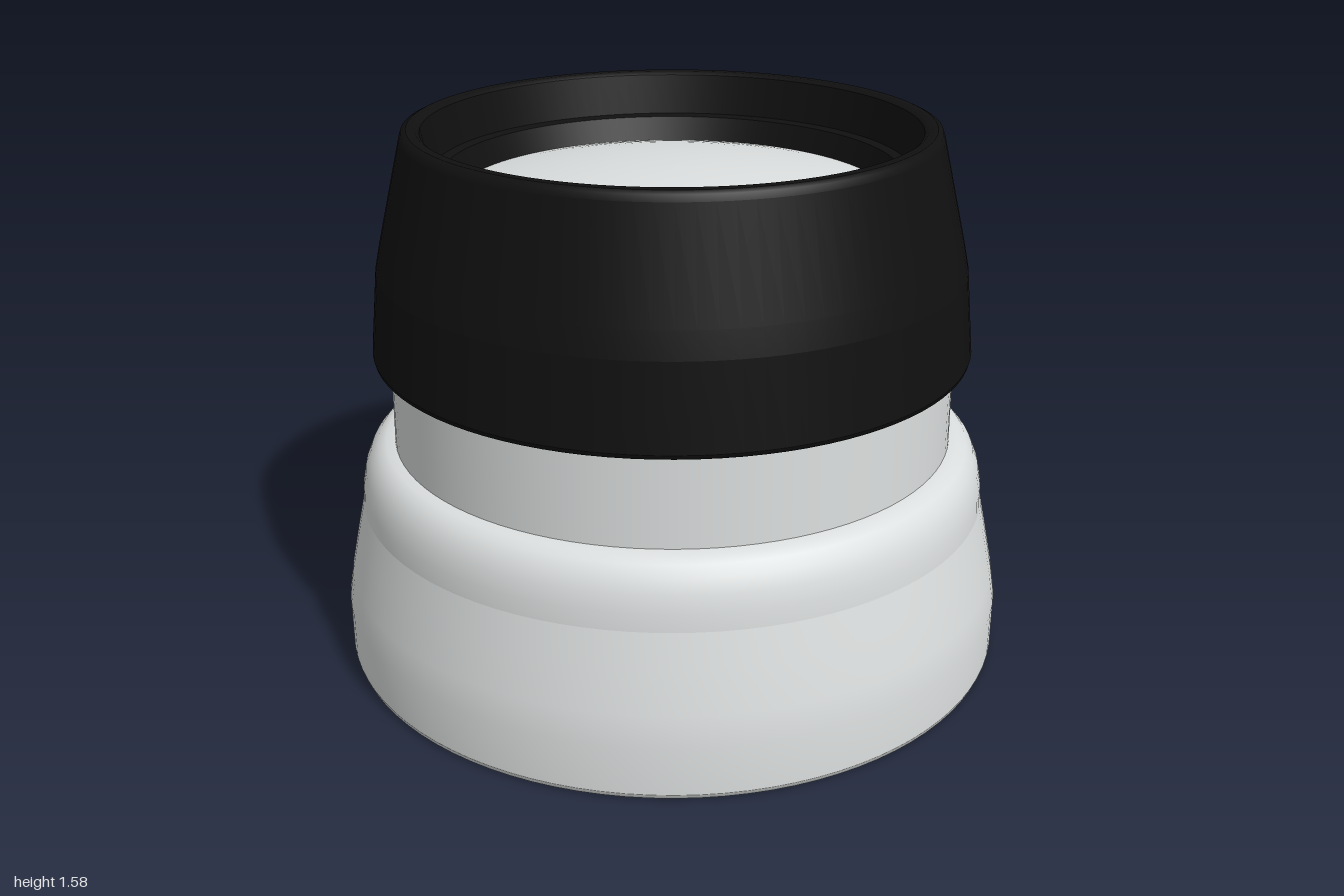
import * as THREE from 'three';
import { mergeGeometries } from 'three/addons/utils/BufferGeometryUtils.js';

const SEGMENTS = 96;

// Each section is smooth in itself; the joins between sections stay sharp.
function turned(name, material, sections) {
  const parts = sections.map((points) =>
    new THREE.LatheGeometry(points.map(([r, y]) => new THREE.Vector2(r, y)), SEGMENTS));
  const mesh = new THREE.Mesh(mergeGeometries(parts), material);
  mesh.name = name;
  return mesh;
}

// Shallow spherical dome from the edge to the centre.
function dome(radius, edgeY, rise, steps = 10) {
  const R = (radius * radius + rise * rise) / (2 * rise);
  const points = [];
  for (let i = 0; i <= steps; i++) {
    const r = radius * (1 - i / steps);
    points.push([r, edgeY + Math.sqrt(R * R - r * r) - (R - rise)]);
  }
  return points;
}

export function createModel() {
  const grey = new THREE.MeshStandardMaterial({ color: 0xdcdfdf });
  grey.name = 'light grey';
  const black = new THREE.MeshStandardMaterial({ color: 0x101010 });
  black.name = 'black';

  const group = new THREE.Group();
  group.name = 'loupe';

  // Flared hollow skirt, profile runs down the inside and up the outside
  group.add(turned('skirt', grey, [
    [[0.77, 0.655], [0.8, 0.65], [0.835, 0.625], [0.86, 0.58], [0.87, 0.5], [0.89, 0.4], [0.92, 0.2], [0.93, 0.02]],
    [[0.93, 0.02], [0.945, 0.004], [0.96, 0], [0.985, 0], [0.996, 0.005], [1, 0.018]],
    [[1, 0.018], [1, 0.16], [0.985, 0.25], [0.96, 0.37], [0.938, 0.47]],
    [[0.938, 0.47], [0.935, 0.52], [0.925, 0.57], [0.908, 0.61], [0.885, 0.637], [0.86, 0.651], [0.83, 0.655]],
  ]));

  // Straight tube between the skirt and the cap
  group.add(turned('neck', grey, [
    [[0.77, 1.36], [0.77, 0.655]],
    [[0.833, 0.65], [0.83, 0.94]],
  ]));

  // Tapered cap with a recessed, stepped opening
  group.add(turned('cap', black, [
    [[0.77, 0.925], [0.868, 0.925]],
    [[0.868, 0.925], [0.877, 0.928], [0.88, 0.94]],
    [[0.88, 0.94], [0.856, 1.18]],
    [[0.856, 1.18], [0.84, 1.255], [0.768, 1.555]],
    [[0.768, 1.555], [0.762, 1.573], [0.747, 1.58]],
    [[0.747, 1.58], [0.722, 1.58], [0.71, 1.57]],
    [[0.71, 1.57], [0.685, 1.45]],
    [[0.685, 1.45], [0.655, 1.445]],
    [[0.655, 1.445], [0.624, 1.37]],
    [[0.624, 1.37], [0.624, 1.34]],
    [[0.624, 1.34], [0.77, 1.34]],
  ]));

  // Domed lens, curved on both faces
  const top = dome(0.625, 1.375, 0.075);
  const underside = dome(0.77, 0, 0.08).reverse().map(([r, y]) => [r, 1.33 - y]);
  group.add(turned('lens', grey, [top, underside]));

  return group;
}
